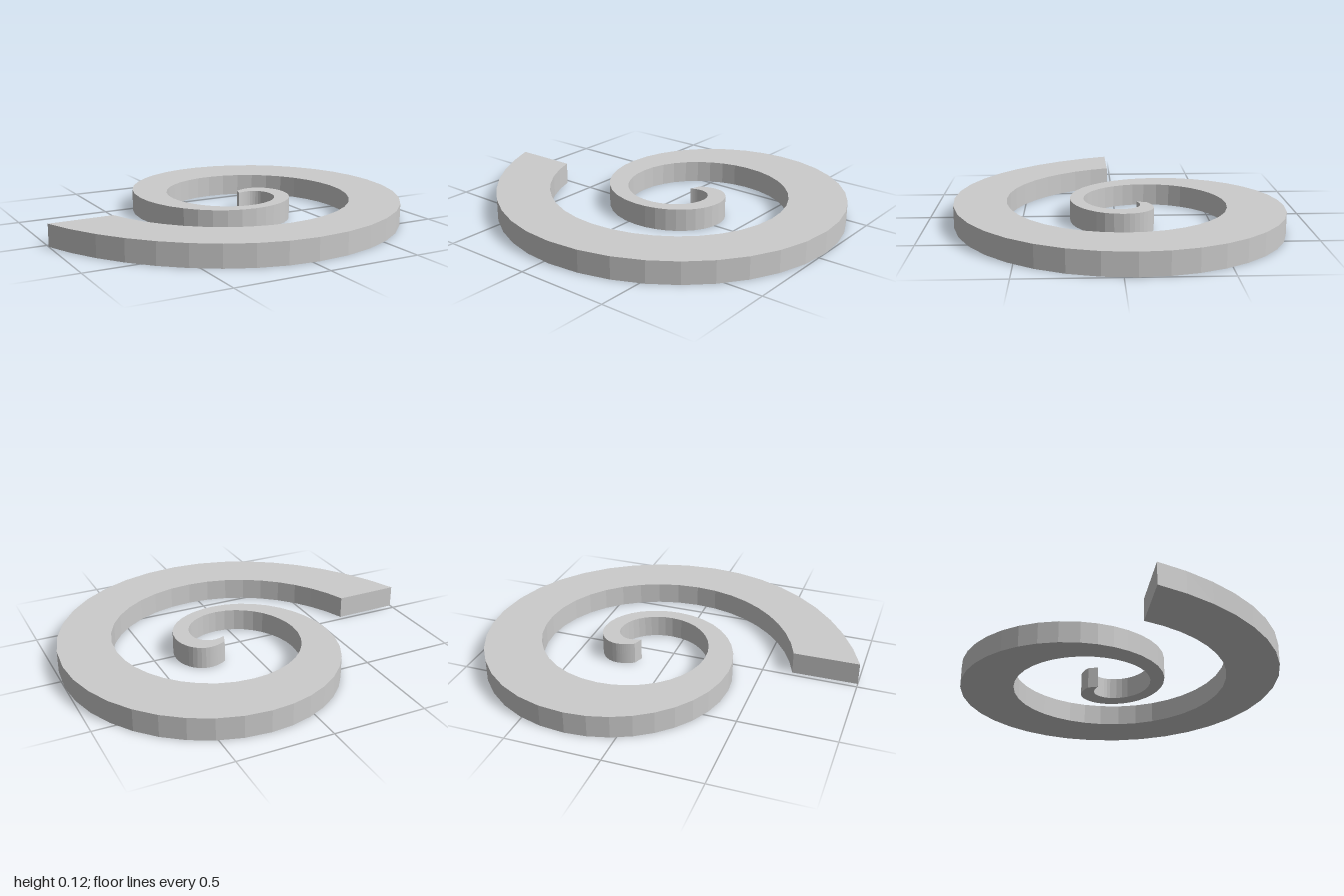
import * as THREE from 'three';

const HEIGHT = 0.118;
const K = 0.5523; // handle length of a quarter arc

// Extreme points [x, z] of each edge, from the wide end towards the tip
const outer = [[0.035, 0.86], [1, -0.065], [0.25, -0.865], [-0.385, -0.255], [0.055, 0.245], [0.387, -0.03], [0.26, -0.19]];
const inner = [[0.055, 0.58], [0.71, -0.03], [0.2, -0.572], [-0.232, -0.17], [0.07, 0.172], [0.297, -0.02], [0.21, -0.122]];

// Quarter arcs through the points; the tangent alternates between x and z
function addArcs(shape, points) {
  for (let i = 1; i < points.length; i++) {
    const [ax, az] = points[i - 1];
    const [bx, bz] = points[i];
    const dx = (bx - ax) * K;
    const dz = (bz - az) * K;
    if (i % 2 === 1) shape.bezierCurveTo(ax + dx, -az, bx, -(bz - dz), bx, -bz);
    else shape.bezierCurveTo(ax, -(az + dz), bx - dx, -bz, bx, -bz);
  }
}

export function createModel() {
  const group = new THREE.Group();
  group.name = 'spiral';

  // Outer edge, from the wide flat end to the tip
  const shape = new THREE.Shape();
  shape.moveTo(-1, -0.03);
  shape.bezierCurveTo(-0.84, -0.48, -0.45, -0.86, 0.035, -0.86);
  addArcs(shape, outer);
  shape.quadraticCurveTo(0.21, 0.19, 0.165, 0.16);

  // Cut across the tip, then the inner edge back to the wide end
  shape.lineTo(0.147, 0.107);
  shape.quadraticCurveTo(0.175, 0.122, 0.21, 0.122);
  addArcs(shape, [...inner].reverse());
  shape.bezierCurveTo(-0.29, -0.58, -0.56, -0.33, -0.655, -0.025);
  shape.closePath();

  // Lay the flat band down on the ground
  const geometry = new THREE.ExtrudeGeometry(shape, { depth: HEIGHT, bevelEnabled: false, curveSegments: 9 });
  geometry.rotateX(-Math.PI / 2);

  const band = new THREE.Mesh(geometry, new THREE.MeshStandardMaterial({ color: 0xcccccc, flatShading: true }));
  band.name = 'spiralBand';
  group.add(band);
  return group;
}
